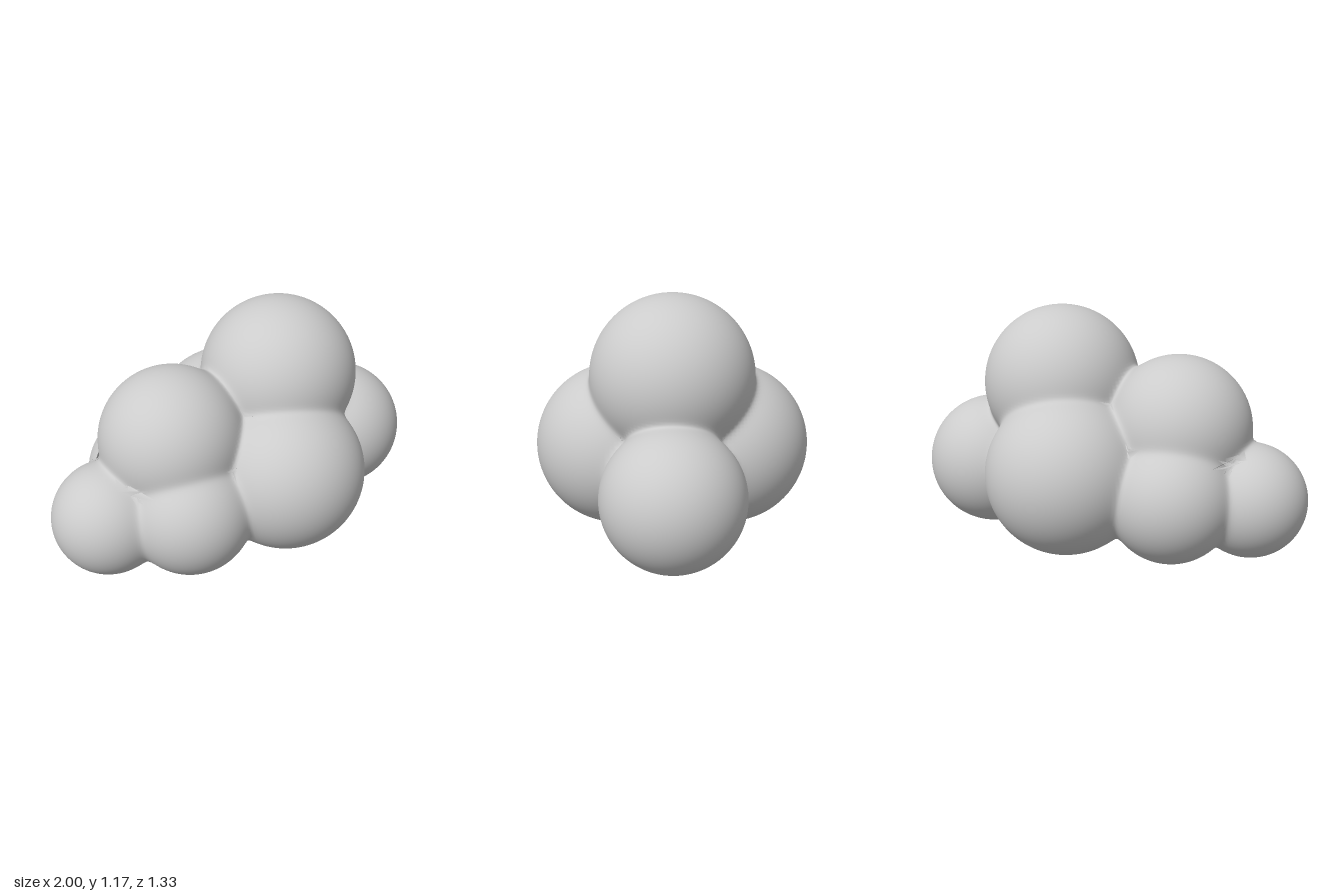
import * as THREE from 'three';

// Puffs of the cloud: name, centre, radius
const puffs = [
  ['rightEndPuff', -0.72, 0.285, 0, 0.28],
  ['leftEndPuff', 0.665, 0.34, 0, 0.335],
  ['upperRightPuff', -0.355, 0.61, 0, 0.36],
  ['upperLeftPuff', 0.265, 0.79, 0, 0.39],
];
// Lower puffs are mirrored front to back
for (const [side, s] of [['front', 1], ['back', -1]]) {
  puffs.push([side + 'LargePuff', 0.128, 0.4, 0.272 * s, 0.395]);
  puffs.push([side + 'SmallPuff', -0.385, 0.315, 0.207 * s, 0.31]);
}
const balls = puffs.map(([name, x, y, z, r]) => ({ name, centre: new THREE.Vector3(x, y, z), r }));

const BLEND = 0.014; // softness of the creases between puffs

// Smooth union of all puffs: signed distance, outward direction and nearest puff
function field(p, normal) {
  const d = balls.map((b) => p.distanceTo(b.centre) - b.r);
  const min = Math.min(...d);
  let sum = 0;
  normal.set(0, 0, 0);
  balls.forEach((b, i) => {
    const w = Math.exp((min - d[i]) / BLEND);
    sum += w;
    normal.addScaledVector(p.clone().sub(b.centre).normalize(), w);
  });
  normal.divideScalar(sum);
  return { distance: min - BLEND * Math.log(sum), owner: d.indexOf(min) };
}

// A sphere whose surface flows out onto the blended skin, keeping only its own share of it
function puffGeometry(ball, self) {
  const geo = new THREE.SphereGeometry(ball.r, 112, 72);
  geo.translate(...ball.centre.toArray());
  const pos = geo.attributes.position;
  const p = new THREE.Vector3();
  const n = new THREE.Vector3();
  const owned = [];
  for (let i = 0; i < pos.count; i++) {
    p.fromBufferAttribute(pos, i);
    for (let step = 0; step < 12; step++) {
      const { distance } = field(p, n);
      if (Math.abs(distance) < 1e-5) break;
      p.addScaledVector(n, -distance / Math.max(n.lengthSq(), 0.3));
    }
    owned.push(field(p, n).owner === self);
    n.normalize();
    pos.setXYZ(i, p.x, p.y, p.z);
    geo.attributes.normal.setXYZ(i, n.x, n.y, n.z);
  }
  // Drop the faces that lie wholly on a neighbouring puff
  const kept = [];
  const index = geo.index.array;
  for (let i = 0; i < index.length; i += 3) {
    const tri = [index[i], index[i + 1], index[i + 2]];
    if (tri.some((v) => owned[v])) kept.push(...tri);
  }
  geo.setIndex(kept);
  return geo;
}

export function createModel() {
  const cloud = new THREE.Group();
  cloud.name = 'cloud';
  const material = new THREE.MeshStandardMaterial({ color: 0xcccccc });
  balls.forEach((ball, i) => {
    const mesh = new THREE.Mesh(puffGeometry(ball, i), material);
    mesh.name = ball.name;
    cloud.add(mesh);
  });
  return cloud;
}
